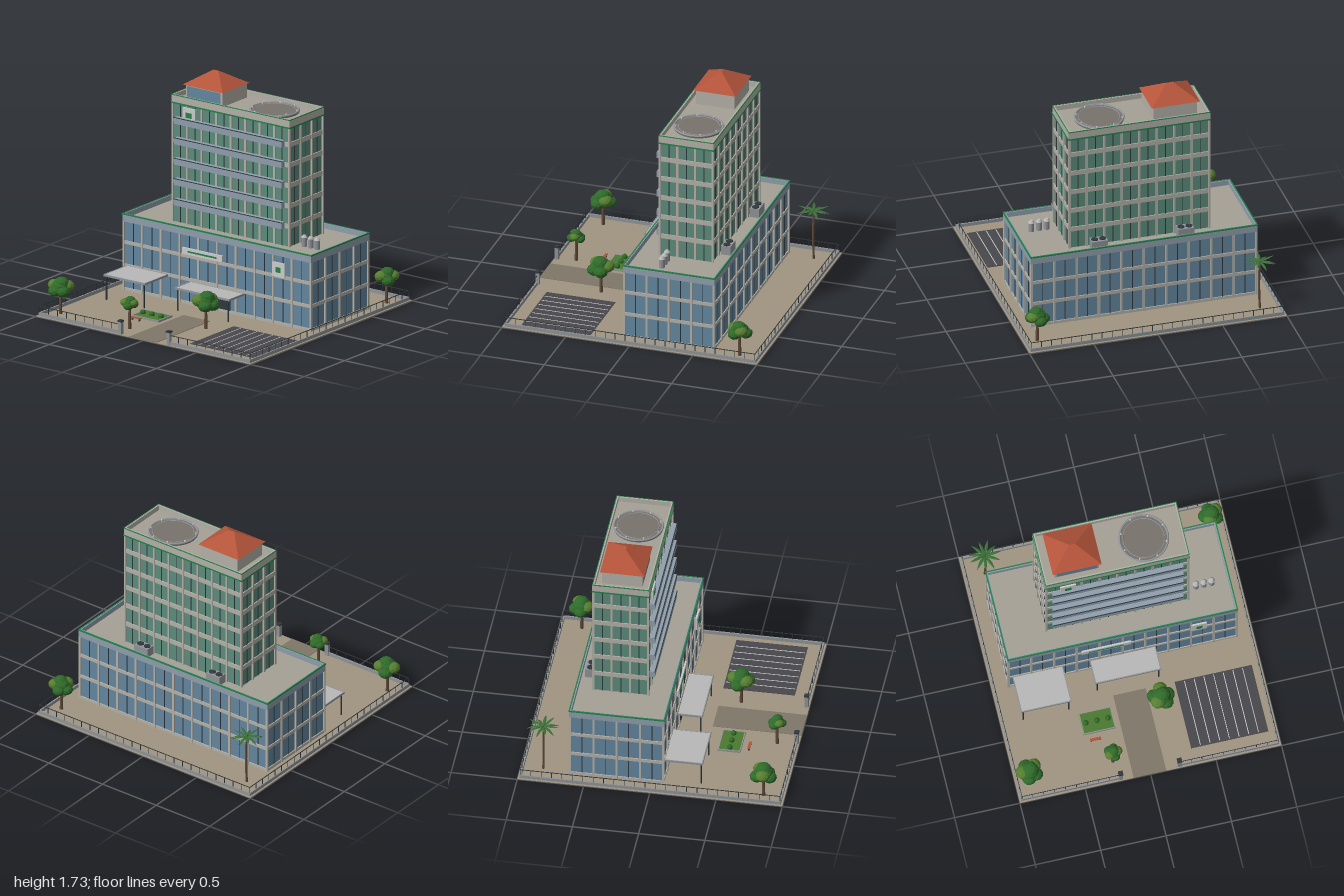
import * as THREE from 'three';

const mats = {};
const mat = (color) => (mats[color] ??= new THREE.MeshStandardMaterial({ color, flatShading: true, side: THREE.DoubleSide }));
const C = {
  ground: 0xa09580, drive: 0x80766a, asphalt: 0x48484c, white: 0xd8d8d8, frame: 0xb4b1a8, band: 0x8f9fac,
  blueGlass: 0x64869e, greenGlass: 0x5c8c7c, dark: 0x30383c, green: 0x24804a, roof: 0xa5a196, tile: 0xb4543a,
  metal: 0x909498, canopy: 0xb8b8b8, trunk: 0x604a38, leafA: 0x2f6a2a, leafB: 0x557f30, palm: 0x3c7038, grass: 0x4a7a30, pad: 0x77736c,
};

function add(parent, name, geo, color, x = 0, y = 0, z = 0) {
  const m = new THREE.Mesh(geo, mat(color));
  m.name = name;
  m.position.set(x, y, z);
  parent.add(m);
  return m;
}
// Box given by its extents along each axis
function box(parent, name, color, x0, x1, y0, y1, z0, z1) {
  return add(parent, name, new THREE.BoxGeometry(x1 - x0, y1 - y0, z1 - z0), color, (x0 + x1) / 2, (y0 + y1) / 2, (z0 + z1) / 2);
}
function cyl(parent, name, color, r0, r1, y0, y1, x, z, sides = 12) {
  return add(parent, name, new THREE.CylinderGeometry(r1, r0, y1 - y0, sides), color, x, (y0 + y1) / 2, z);
}
function group(parent, name) {
  const g = new THREE.Group();
  g.name = name;
  parent.add(g);
  return g;
}
// Four walls around a rectangle
function ring(parent, name, color, x0, x1, y0, y1, z0, z1, t) {
  box(parent, name, color, x0, x1, y0, y1, z1 - t, z1);
  box(parent, name, color, x0, x1, y0, y1, z0, z0 + t);
  box(parent, name, color, x0, x0 + t, y0, y1, z0 + t, z1 - t);
  box(parent, name, color, x1 - t, x1, y0, y1, z0 + t, z1 - t);
}

// Glazed block with floor bands, piers, mullions and a parapet
function block(parent, name, o) {
  const g = group(parent, name), { x0, x1, z0, z1, y0, y1, top } = o, e = 0.012;
  box(g, 'glass', o.glass, x0 + e, x1 - e, y0, y1, z0 + e, z1 - e);
  for (const y of o.floors) box(g, 'floorBand', C.frame, x0 + 0.004, x1 - 0.004, y, y + o.bandH, z0 + 0.004, z1 - 0.004);
  const uprights = (a, b, n, place) => {
    for (let i = 0; i <= 2 * n; i++) place(a + ((b - a) * i) / (2 * n), i % 2 === 0);
  };
  uprights(x0 + 0.008, x1 - 0.008, o.nx, (x, pier) => {
    const w = pier ? 0.008 : 0.003, d = pier ? 0 : 0.008;
    for (const [a, b] of [[z1 - 0.014, z1 - d], [z0 + d, z0 + 0.014]])
      box(g, pier ? 'pier' : 'mullion', pier ? C.frame : C.dark, x - w, x + w, y0, y1, a, b);
  });
  uprights(z0 + 0.008, z1 - 0.008, o.nz, (z, pier) => {
    const w = pier ? 0.008 : 0.003, d = pier ? 0 : 0.008;
    for (const [a, b] of [[x1 - 0.014, x1 - d], [x0 + d, x0 + 0.014]])
      box(g, pier ? 'pier' : 'mullion', pier ? C.frame : C.dark, a, b, y0, y1, z - w, z + w);
  });
  box(g, 'roofDeck', C.roof, x0 + 0.01, x1 - 0.01, y1, y1 + 0.02, z0 + 0.01, z1 - 0.01);
  ring(g, 'parapet', o.parapet, x0, x1, y1, top, z0, z1, 0.015);
  return g;
}

// Box whose top face is scaled to another size
function frustum(w0, d0, w1, d1, h) {
  const geo = new THREE.BoxGeometry(w0, h, d0), p = geo.attributes.position;
  for (let i = 0; i < p.count; i++)
    if (p.getY(i) > 0) p.setXYZ(i, (p.getX(i) * w1) / w0, p.getY(i), (p.getZ(i) * d1) / d0);
  geo.computeVertexNormals();
  return geo;
}

function tree(parent, x, z, r, cy) {
  const g = group(parent, 'tree');
  g.position.set(x, 0, z);
  cyl(g, 'trunk', C.trunk, 0.014, 0.009, 0, cy, 0, 0, 7);
  const blob = (bx, by, bz, s, c) => {
    add(g, 'foliage', new THREE.IcosahedronGeometry(s, 1), c, bx, cy + by, bz).scale.y = 0.8;
  };
  blob(0, 0.1 * r, 0, 0.72 * r, C.leafA);
  for (let i = 0; i < 5; i++) {
    const a = i * 1.257 + x * 5;
    blob(Math.cos(a) * r * 0.48, (i % 2 ? 0.15 : -0.15) * r, Math.sin(a) * r * 0.48, r * 0.52, i % 2 ? C.leafB : C.leafA);
  }
  blob(0.1 * r, 0.38 * r, 0, 0.55 * r, C.leafA);
}

function palmTree(parent, x, z) {
  const g = group(parent, 'palm');
  g.position.set(x, 0, z);
  const path = new THREE.QuadraticBezierCurve3(new THREE.Vector3(), new THREE.Vector3(0.015, 0.2, 0), new THREE.Vector3(0, 0.4, 0));
  add(g, 'trunk', new THREE.TubeGeometry(path, 8, 0.009, 7), C.trunk);
  for (let i = 0; i < 11; i++) {
    const geo = new THREE.PlaneGeometry(0.12, 0.022, 6, 2).rotateX(-Math.PI / 2), p = geo.attributes.position;
    for (let k = 0; k < p.count; k++) {
      const t = p.getX(k) / 0.12 + 0.5, side = p.getZ(k);
      p.setXYZ(k, t * 0.12, 0.03 * t - 0.035 * t * t * (i % 2 ? 1.4 : 0.4) - Math.abs(side) * 0.4, side * (Math.sin(Math.PI * t) + 0.08));
    }
    geo.computeVertexNormals();
    add(g, 'frond', geo, C.palm, 0, 0.4, 0).rotation.y = (i / 11) * Math.PI * 2;
  }
}

export function createModel() {
  const root = new THREE.Group();
  root.name = 'hospital';

  // Site surfaces
  box(root, 'ground', C.ground, -1, 1, 0, 0.004, -1, 1);
  box(root, 'driveway', C.drive, -0.13, 0.12, 0.002, 0.007, 0.33, 1);
  box(root, 'parking', C.asphalt, 0.34, 0.93, 0.002, 0.008, 0.33, 0.87);
  for (let i = 1; i < 8; i++) box(root, 'parkingLine', C.white, 0.336 + i * 0.074, 0.342 + i * 0.074, 0.008, 0.01, 0.34, 0.86);

  // Perimeter curb, posts and rails, with a gate gap in front
  const fence = group(root, 'fence');
  for (const [xa, za, xb, zb] of [[-0.98, -0.98, 0.98, -0.98], [-0.98, -0.98, -0.98, 0.98], [0.98, -0.98, 0.98, 0.98], [-0.98, 0.98, -0.23, 0.98], [0.23, 0.98, 0.98, 0.98]]) {
    const bar = (name, c, y0, y1, t) => box(fence, name, c, xa - t, xb + t, y0, y1, za - t, zb + t);
    bar('curb', C.metal, 0, 0.03, 0.006);
    bar('rail', C.dark, 0.075, 0.08, 0.002);
    const n = Math.round((xb - xa + zb - za) / 0.08);
    for (let i = 0; i <= n; i++) {
      const x = xa + ((xb - xa) * i) / n, z = za + ((zb - za) * i) / n;
      box(fence, 'post', C.dark, x - 0.002, x + 0.002, 0.03, 0.08, z - 0.002, z + 0.002);
    }
  }
  for (const x of [-0.225, 0.225]) {
    box(fence, 'gatePost', C.metal, x - 0.014, x + 0.014, 0, 0.1, 0.965, 0.993);
    box(fence, 'gateCap', C.dark, x - 0.018, x + 0.018, 0.1, 0.112, 0.961, 0.997);
  }

  // Podium and tower
  const step = [0, 1, 2, 3, 4];
  const podium = block(root, 'podium', { x0: -0.88, x1: 0.88, z0: -0.63, z1: 0.09, y0: 0, y1: 0.54, top: 0.6, nx: 10, nz: 4, glass: C.blueGlass, parapet: C.band, floors: [0, 0.185, 0.365], bandH: 0.026 });
  ring(podium, 'greenTrim', C.green, -0.883, 0.883, 0.592, 0.602, -0.633, 0.093, 0.01);
  const tower = block(root, 'tower', { x0: -0.55, x1: 0.55, z0: -0.51, z1: -0.08, y0: 0.55, y1: 1.49, top: 1.55, nx: 8, nz: 3, glass: C.greenGlass, parapet: C.frame, floors: step.map((i) => 0.7 + i * 0.159), bandH: 0.036 });
  ring(tower, 'greenTrim', C.green, -0.553, 0.553, 1.482, 1.493, -0.513, -0.077, 0.006);
  ring(tower, 'greenTrim', C.green, -0.551, 0.551, 1.545, 1.551, -0.511, -0.079, 0.006);
  for (const i of step) {
    const y = 0.7 + i * 0.159;
    box(tower, 'balcony', C.band, -0.5, 0.5, y, y + 0.05, -0.085, -0.045);
    box(tower, 'balconyRail', C.dark, -0.502, 0.502, y + 0.047, y + 0.052, -0.048, -0.042);
  }

  // Plain sign boards
  const sign = (x0, x1, y0, y1, z, mx, my) => {
    box(root, 'signBoard', C.white, x0, x1, y0, y1, z, z + 0.014);
    box(root, 'signPanel', C.green, x0 + mx, x1 - mx, y0 + my, y1 - my, z + 0.01, z + 0.018);
  };
  sign(-0.315, 0.06, 0.395, 0.445, 0.088, 0.055, 0.019);
  sign(0.525, 0.64, 0.38, 0.49, 0.088, 0.035, 0.035);
  sign(-0.44, -0.32, 1.36, 1.47, -0.082, 0.035, 0.035);
  box(root, 'entranceDoors', C.dark, -0.12, 0.12, 0, 0.15, 0.08, 0.086);

  // Roof house with a tiled hip roof
  const house = group(root, 'roofHouse');
  box(house, 'walls', C.frame, -0.465, -0.125, 1.5, 1.625, -0.45, -0.145);
  box(house, 'window', C.blueGlass, -0.45, -0.14, 1.53, 1.615, -0.146, -0.141);
  const tiers = 5;
  for (let i = 0; i < tiers; i++) {
    const a = 1 - i / tiers, b = 1 - (i + 1) / tiers, h = 0.105 / tiers;
    add(house, 'tileRow', frustum(0.05 + 0.325 * a, 0.006 + 0.329 * a, 0.045 + 0.322 * b, 0.002 + 0.324 * b, h), C.tile, -0.297, 1.625 + h * (i + 0.5), -0.295);
  }

  // Helipad with rim and edge lights
  const pad = group(root, 'helipad');
  cyl(pad, 'padDisc', C.pad, 0.185, 0.185, 1.505, 1.525, 0.25, -0.295, 40);
  for (const r of [0.182, 0.155])
    add(pad, 'padRing', new THREE.TorusGeometry(r, r > 0.17 ? 0.008 : 0.003, 6, 40).rotateX(Math.PI / 2), C.metal, 0.25, 1.525, -0.295);
  for (let i = 0; i < 8; i++) {
    const a = ((i + 0.5) * Math.PI) / 4;
    cyl(pad, 'padLight', C.white, 0.006, 0.006, 1.525, 1.538, 0.25 + 0.172 * Math.cos(a), -0.295 + 0.172 * Math.sin(a), 6);
  }

  // Podium roof equipment
  for (const x of [-0.34, 0.33]) {
    const ac = group(root, 'coolingUnit');
    box(ac, 'casing', C.metal, x - 0.062, x + 0.062, 0.56, 0.63, -0.59, -0.515);
    for (const dx of [-0.031, 0.031]) cyl(ac, 'fan', C.dark, 0.026, 0.026, 0.63, 0.636, x + dx, -0.552, 14);
  }
  for (const x of [0.62, 0.68, 0.74]) {
    cyl(root, 'tank', C.metal, 0.022, 0.022, 0.56, 0.63, x, -0.17, 14);
    cyl(root, 'tankLid', C.canopy, 0.025, 0.012, 0.63, 0.648, x, -0.17, 14);
  }

  // Canopies on slim posts
  for (const [x0, x1, z1, y] of [[-0.84, -0.46, 0.37, 0.19], [-0.25, 0.25, 0.27, 0.173]]) {
    const c = group(root, 'canopy');
    box(c, 'canopyRoof', C.canopy, x0, x1, y, y + 0.01, 0.08, z1);
    ring(c, 'canopyEdge', C.metal, x0 - 0.003, x1 + 0.003, y - 0.003, y + 0.012, 0.08, z1 + 0.003, 0.008);
    for (const x of [x0 + 0.015, x1 - 0.015]) cyl(c, 'canopyPost', C.dark, 0.006, 0.006, 0, y, x, z1 - 0.012, 8);
  }

  // Planting bed and bench
  box(root, 'lawn', C.grass, -0.41, -0.175, 0, 0.015, 0.42, 0.58);
  ring(root, 'bedCurb', C.metal, -0.416, -0.169, 0, 0.019, 0.414, 0.586, 0.008);
  for (const x of [-0.38, -0.295, -0.21]) add(root, 'shrub', new THREE.IcosahedronGeometry(0.022, 1), C.leafA, x, 0.025, 0.5);
  box(root, 'benchSeat', C.tile, -0.38, -0.295, 0.022, 0.029, 0.632, 0.652);
  for (const x of [-0.37, -0.305]) box(root, 'benchLeg', C.dark, x - 0.004, x + 0.004, 0, 0.022, 0.635, 0.649);

  // Trees
  tree(root, -0.89, 0.84, 0.105, 0.205);
  tree(root, -0.25, 0.835, 0.072, 0.2);
  tree(root, 0.2, 0.49, 0.108, 0.21);
  tree(root, 0.89, -0.83, 0.098, 0.205);
  palmTree(root, -0.84, -0.83);
  return root;
}
